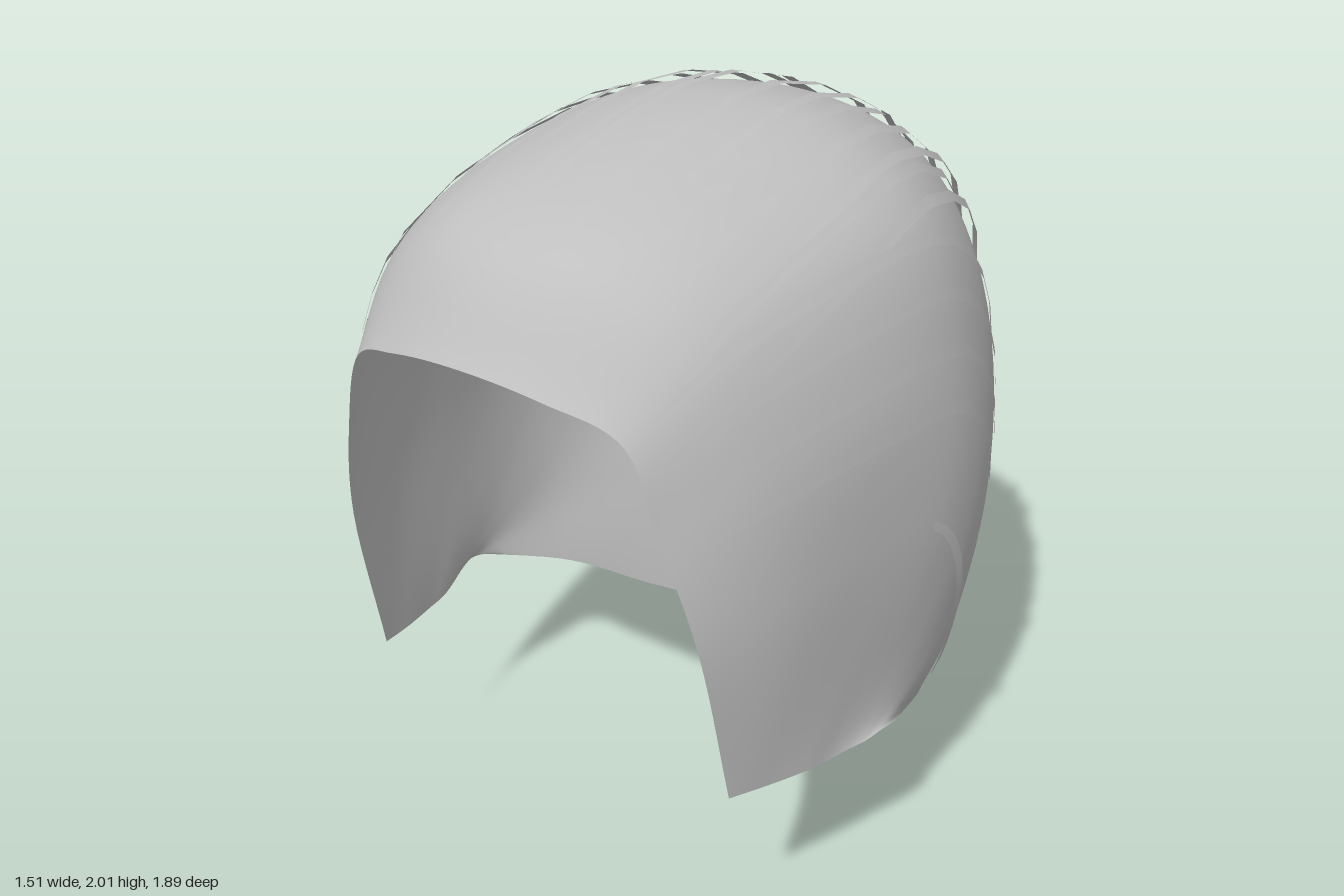
import * as THREE from 'three';
import { ParametricGeometry } from 'three/addons/geometries/ParametricGeometry.js';

const hair = new THREE.MeshStandardMaterial({ color: 0xbfbfbf, side: THREE.DoubleSide });
hair.name = 'hair grey';

// Guide strands of the left half, each combed from the hairline back to the lower edge
const guides = [
  [[0, 1.575, 0.955], [0, 1.8, 0.77], [0, 1.955, 0.3], [0, 1.97, -0.15], [0, 1.77, -0.62], [0, 1.34, -0.87], [0, 0.78, -0.895], [0, 0, -0.72]],
  [[0.22, 1.55, 0.935], [0.28, 1.78, 0.72], [0.33, 1.895, 0.27], [0.33, 1.905, -0.15], [0.3, 1.71, -0.57], [0.26, 1.32, -0.8], [0.23, 0.75, -0.815], [0.19, 0.02, -0.68]],
  [[0.4, 1.48, 0.885], [0.48, 1.65, 0.67], [0.555, 1.745, 0.25], [0.565, 1.735, -0.12], [0.53, 1.52, -0.45], [0.47, 1.14, -0.66], [0.4, 0.67, -0.65], [0.37, 0.09, -0.53]],
  [[0.48, 1.26, 0.865], [0.605, 1.37, 0.61], [0.685, 1.43, 0.25], [0.7, 1.41, -0.05], [0.675, 1.22, -0.29], [0.62, 0.92, -0.44], [0.555, 0.6, -0.43], [0.5, 0.2, -0.34]],
  [[0.55, 0.98, 0.82], [0.65, 1.04, 0.56], [0.715, 1.07, 0.27], [0.745, 1.05, 0.05], [0.74, 0.92, -0.08], [0.715, 0.74, -0.14], [0.68, 0.55, -0.14], [0.62, 0.36, -0.1]],
  [[0.575, 0.52, 0.73], [0.605, 0.5, 0.62], [0.64, 0.485, 0.5], [0.66, 0.48, 0.42], [0.68, 0.485, 0.36], [0.7, 0.49, 0.31], [0.715, 0.5, 0.26], [0.72, 0.495, 0.2]],
];

const strand = (points, side) =>
  new THREE.CatmullRomCurve3(points.map(([x, y, z]) => new THREE.Vector3(x * side, y, z)));
const curves = [
  ...guides.slice(1).reverse().map((g) => strand(g, -1)),
  ...guides.map((g) => strand(g, 1)),
];

// Point on the cap: s runs from -1 (right) to 1 (left), t from hairline to lower edge
const clamp = (v) => THREE.MathUtils.clamp(v, 0, 1);
function capPoint(s, t) {
  const across = new THREE.CatmullRomCurve3(curves.map((c) => c.getPoint(clamp(t))));
  return across.getPoint(clamp((s + 1) / 2));
}

// Sideways and outward directions on the cap
function capFrame(s, t) {
  const e = 0.004;
  const along = capPoint(s, t + e).sub(capPoint(s, t - e)).normalize();
  const over = capPoint(s + e, t).sub(capPoint(s - e, t));
  const out = over.cross(along).normalize();
  return { out, sideways: new THREE.Vector3().crossVectors(along, out) };
}

// Thin lock above the cap: it bows by lift, drifts sideways and ends flare away from the cap
function lock({ s, from, to, width = 0.034, lift = 0.012, drift = 0, flare = 0 }) {
  const geometry = new ParametricGeometry((u, v, target) => {
    const t = from + (to - from) * v;
    const sv = s + drift * v;
    const { out, sideways } = capFrame(sv, t);
    const bow = Math.sin(Math.PI * clamp(v));
    target.copy(capPoint(sv, t))
      .addScaledVector(out, 0.004 + lift * bow + flare * v * v)
      .addScaledVector(sideways, (u - 0.5) * width * (0.7 + 0.3 * bow));
  }, 1, 12);
  return new THREE.Mesh(geometry, hair);
}

export function createModel() {
  const model = new THREE.Group();
  model.name = 'hair';

  // Smooth combed cap
  const cap = new THREE.Mesh(
    new ParametricGeometry((u, v, target) => target.copy(capPoint(u * 2 - 1, v)), 72, 64), hair);
  cap.name = 'hairCap';
  model.add(cap);

  const locks = new THREE.Group();
  locks.name = 'combedLocks';
  model.add(locks);
  const add = (name, options) => {
    const mesh = lock(options);
    mesh.name = name;
    locks.add(mesh);
  };

  // Long locks over the crown, gathering at the nape
  add('crownLock', { s: -0.03, from: 0.1, to: 0.9, lift: 0.02, flare: 0.015 });
  for (const side of [-1, 1]) {
    for (let i = 1; i <= 7; i++) {
      add('crownLock', {
        s: side * i * 0.068, from: 0.09 + 0.08 * (i % 3), to: 0.97 - 0.04 * (i % 2),
        lift: 0.014 + 0.007 * (i % 3), drift: side * -0.042 * i, flare: 0.012 * (i % 2),
      });
    }
    // Shorter locks swept back along the temples
    for (let i = 0; i < 4; i++) {
      add('templeLock', { s: side * (0.42 + i * 0.075), from: 0.04, to: 0.66, drift: side * 0.02 });
    }
    // Lock falling behind the ear
    add('earLock', { s: side * 0.81, from: 0.4, to: 0.93, lift: 0.014, drift: side * 0.05 });
    // Loose ends standing off the nape
    for (let i = 0; i < 3; i++) {
      add('napeLock', {
        s: side * (0.1 + i * 0.06), from: 0.64, to: 0.98 - i * 0.01, width: 0.025,
        lift: 0.035, drift: side * 0.02, flare: 0.08 - i * 0.03,
      });
    }
  }
  return model;
}
